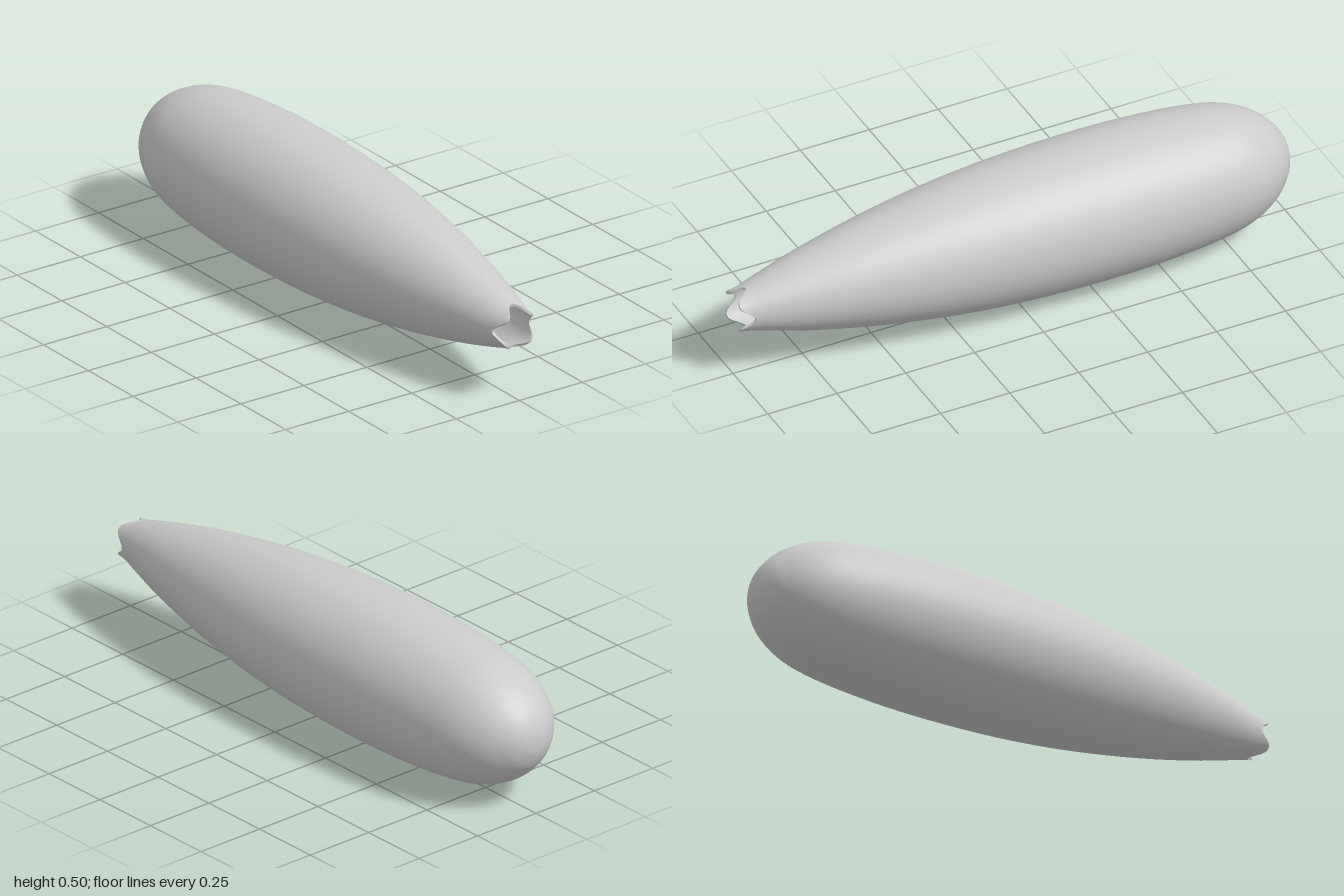
import * as THREE from 'three';
import { ParametricGeometry } from 'three/addons/geometries/ParametricGeometry.js';

const AXIS_Y = 0.248;

// Hull profile: x along the pod, radius. The last segment carries the scalloped mouth.
const profile = new THREE.SplineCurve([
  [-1, 0.001], [-0.994, 0.045], [-0.966, 0.1], [-0.9, 0.162], [-0.8, 0.207],
  [-0.67, 0.23], [-0.5, 0.243], [-0.33, 0.248], [-0.15, 0.246], [0.05, 0.237],
  [0.25, 0.219], [0.45, 0.191], [0.62, 0.16], [0.77, 0.127], [0.88, 0.098],
  [0.955, 0.077], [1, 0.069],
].map(([x, r]) => new THREE.Vector2(x, r)));
const WALL = 0.008;

// Four lobes on the diagonals, four notches between them
const endOf = (angle) => 1 - Math.cos(2 * angle) ** 2 / 16;

function hullPoint(t, angle, inset, target) {
  const p = profile.getPoint(t * endOf(angle));
  const r = Math.max(p.y - inset, 0.0005);
  target.set(p.x + inset * Math.max(0, 1 - 4 * t), AXIS_Y + r * Math.cos(angle), -r * Math.sin(angle));
}

export function createModel() {
  const group = new THREE.Group();
  const grey = new THREE.MeshStandardMaterial({ color: 0xcccccc, side: THREE.DoubleSide });
  const ochre = new THREE.MeshStandardMaterial({ color: 0xb87a10 });

  const add = (name, geometry, material = grey, x = 0, y = 0, z = 0) => {
    const mesh = new THREE.Mesh(geometry, material);
    mesh.name = name;
    mesh.position.set(x, y, z);
    group.add(mesh);
    return mesh;
  };

  // Outer shell, inner lining and the lip that joins them
  const turn = 2 * Math.PI;
  add('outerShell', new ParametricGeometry(
    (u, v, p) => hullPoint(u, v * turn, 0, p), 96, 96));
  add('innerLining', new ParametricGeometry(
    (u, v, p) => hullPoint(1 - u, v * turn, WALL, p), 64, 96));
  add('mouthLip', new ParametricGeometry(
    (u, v, p) => hullPoint(1, v * turn, u * WALL, p), 1, 96));

  // Faceted core seen deep inside the mouth
  const core = add('innerCore', new THREE.SphereGeometry(1, 12, 8), grey, 0.4, AXIS_Y - 0.003, 0);
  core.scale.set(0.25, 0.03, 0.042);

  // Ridged plates above and below the core
  for (const side of [1, -1]) {
    const ridge = new THREE.Shape();
    ridge.moveTo(-0.04, 0.032 * side);
    ridge.lineTo(0.04, 0.032 * side);
    ridge.lineTo(0, 0.065 * side);
    ridge.closePath();
    const plate = add(side > 0 ? 'upperRidge' : 'lowerRidge',
      new THREE.ExtrudeGeometry(ridge, { depth: 0.4, bevelEnabled: false }), grey, 0.15, AXIS_Y, 0);
    plate.rotation.y = Math.PI / 2;

    // Small coloured wedge on each side
    const wedge = add(side > 0 ? 'frontWedge' : 'backWedge',
      new THREE.ConeGeometry(0.01, 0.03, 4), ochre, 0.5, AXIS_Y - 0.004, 0.06 * side);
    wedge.rotation.x = -side * Math.PI / 2;
  }
  return group;
}
